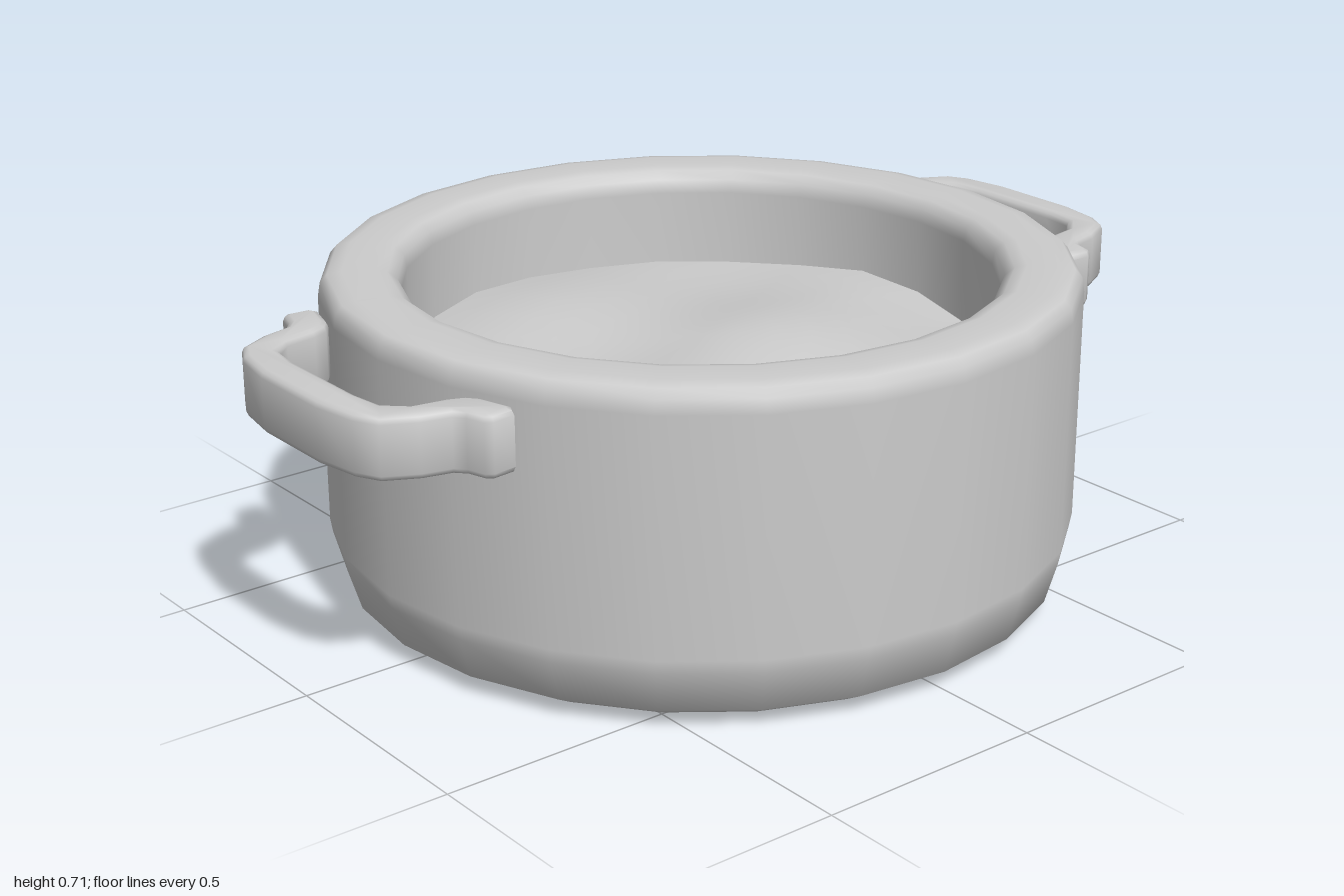
import * as THREE from 'three';
import { mergeVertices, toCreasedNormals } from 'three/addons/utils/BufferGeometryUtils.js';

const material = new THREE.MeshStandardMaterial({ color: 0xcccccc });

function addMesh(parent, name, geometry) {
  const mesh = new THREE.Mesh(geometry, material);
  mesh.name = name;
  parent.add(mesh);
  return mesh;
}

// Thick-walled pot: outer wall, rounded rim, inner wall and floor
function potGeometry() {
  const profile = [
    [0, 0], [0.68, 0], [0.71, 0.005], [0.77, 0.04], [0.795, 0.13], [0.8, 0.16],
    [0.8, 0.66], [0.795, 0.69], [0.78, 0.707], [0.75, 0.713],
    [0.68, 0.713], [0.655, 0.707], [0.635, 0.69], [0.63, 0.66],
    [0.63, 0.14], [0.6, 0.1], [0, 0.1],
  ].map(([r, y]) => new THREE.Vector2(r, y));
  return new THREE.LatheGeometry(profile, 24);
}

// Lumpy surface of the food filling the pot
function contentsGeometry() {
  let g = new THREE.RingGeometry(0, 0.635, 24, 8).rotateX(-Math.PI / 2);
  g.deleteAttribute('uv');
  g.deleteAttribute('normal');
  const p = g.attributes.position;
  for (let i = 0; i < p.count; i++) {
    const x = p.getX(i), z = p.getZ(i);
    const dome = 0.03 * (1 - (x * x + z * z) / 0.4);
    const lumps = 0.014 * Math.sin(7 * x + 2 * z + 0.6) * Math.cos(6 * z - 2 * x)
      + 0.008 * Math.sin(11 * z + 4 * x);
    p.setY(i, 0.495 + dome + lumps);
  }
  g = mergeVertices(g, 1e-4);
  g.computeVertexNormals();
  return g;
}

// Loop handle with flared feet, drawn from above and extruded upward
function handleGeometry() {
  const half = [
    [1, 0.1], [0.983, 0.2], [0.957, 0.25], [0.89, 0.285], [0.83, 0.3], [0.812, 0.32],
    [0.8, 0.36], [0.785, 0.37], [0.735, 0.365], [0.725, 0.345], [0.745, 0.275],
    [0.765, 0.25], [0.8, 0.235], [0.87, 0.223], [0.91, 0.185], [0.92, 0.11],
  ];
  const mirrored = half.map(([x, z]) => [x, -z]).reverse();
  const shape = new THREE.Shape([...half, ...mirrored].map(([x, z]) => new THREE.Vector2(x, z)));
  const bevel = 0.014;
  const g = new THREE.ExtrudeGeometry(shape, {
    depth: 0.13 - 2 * bevel, bevelEnabled: true, bevelSegments: 2,
    bevelSize: bevel, bevelThickness: bevel, bevelOffset: -bevel,
  });
  g.rotateX(-Math.PI / 2).translate(0, 0.525 + bevel, 0);
  return toCreasedNormals(g, 0.95);
}

export function createModel() {
  const model = new THREE.Group();
  model.name = 'cookingPot';
  addMesh(model, 'pot', potGeometry());
  addMesh(model, 'contents', contentsGeometry());

  // Matching handles on both sides
  const handle = handleGeometry();
  addMesh(model, 'leftHandle', handle);
  addMesh(model, 'rightHandle', handle).rotation.y = Math.PI;
  return model;
}
